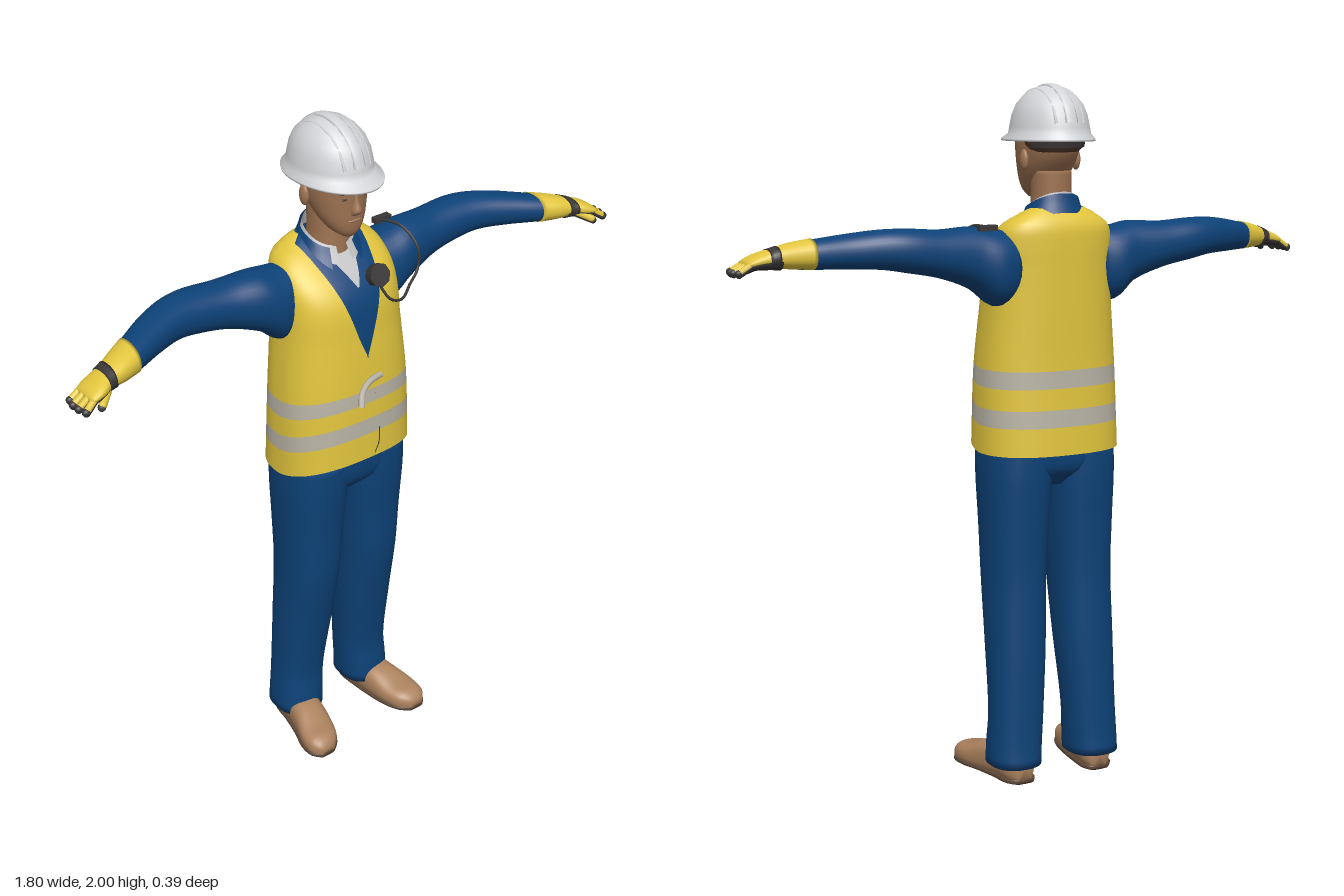
import * as THREE from 'three';

const mat = (name, color, side = THREE.FrontSide) => {
  const m = new THREE.MeshStandardMaterial({ color, side });
  m.name = name;
  return m;
};

// Smooth interpolation of cross-sections [t, centreU, centreV, radiusU, radiusV]
function sectionAt(s, t) {
  let i = 0;
  while (i < s.length - 2 && t > s[i + 1][0]) i++;
  const p = s[i], q = s[i + 1], a = s[i - 1] || p, b = s[i + 2] || q;
  const h = q[0] - p[0], u = (t - p[0]) / h, u2 = u * u, u3 = u2 * u;
  return p.map((_, k) => {
    const m0 = (q[k] - a[k]) / (q[0] - a[0]) * h, m1 = (b[k] - p[k]) / (b[0] - p[0]) * h;
    return (2 * u3 - 3 * u2 + 1) * p[k] + (u3 - 2 * u2 + u) * m0 + (3 * u2 - 2 * u3) * q[k] + (u3 - u2) * m1;
  });
}

// Superellipse loft along axis 0/1/2; the cosine side lies on the next axis, the sine side on the one after
function loft(axis, secs, o = {}) {
  const { n = 2.2, seg = 32, rows = 24, from = secs[0][0], to = secs[secs.length - 1][0],
    range = null, cap = !range, inflate = 1, warp = null } = o;
  const cols = range ? seg + 1 : seg, pos = [], idx = [];
  const bend = (v) => Math.sign(v) * Math.abs(v) ** (2 / n);
  const ring = (t, k) => {
    const s = sectionAt(secs, t), [a0, a1] = range ? range(t, s) : [0, Math.PI * 2];
    for (let j = 0; j < cols; j++) {
      const a = a0 + (a1 - a0) * j / seg, p = [0, 0, 0];
      p[axis] = t;
      p[(axis + 1) % 3] = s[1] + bend(Math.cos(a)) * Math.max(s[3], 0.001) * k;
      p[(axis + 2) % 3] = s[2] + bend(Math.sin(a)) * Math.max(s[4], 0.001) * k;
      if (warp) warp(p, a);
      pos.push(...p);
    }
  };
  if (cap) ring(from, 0.001);
  for (let i = 0; i <= rows; i++) ring(from + (to - from) * i / rows, inflate);
  if (cap) ring(to, 0.001);
  const total = pos.length / 3 / cols;
  for (let i = 0; i < total - 1; i++) for (let j = 0; j < seg; j++) {
    const a = i * cols + j, d = i * cols + (j + 1) % cols;
    idx.push(a, d, a + cols, d, d + cols, a + cols);
  }
  const g = new THREE.BufferGeometry();
  g.setAttribute('position', new THREE.Float32BufferAttribute(pos, 3));
  g.setIndex(idx);
  g.computeVertexNormals();
  return g;
}

function mirrored(geo) {
  const g = geo.clone().scale(-1, 1, 1), ix = g.index.array;
  for (let i = 0; i < ix.length; i += 3) [ix[i], ix[i + 1]] = [ix[i + 1], ix[i]];
  return g;
}

const V = (p) => new THREE.Vector3(...p);
const tube = (pts, r, seg = 32) => new THREE.TubeGeometry(new THREE.CatmullRomCurve3(pts.map(V)), seg, r, 8);
const blob = (p, r) => new THREE.SphereGeometry(1, 20, 14).scale(...r).translate(...p);
const box = (p, s) => new THREE.BoxGeometry(...s).translate(...p);
function finger(a, b, r) {
  const A = V(a), B = V(b), d = B.clone().sub(A);
  const g = new THREE.CapsuleGeometry(r, d.length(), 4, 10);
  g.applyQuaternion(new THREE.Quaternion().setFromUnitVectors(V([0, 1, 0]), d.clone().normalize()));
  return g.translate(...A.add(B).multiplyScalar(0.5).toArray());
}

export function createModel() {
  const root = new THREE.Group();
  root.name = 'worker';
  const D = THREE.DoubleSide;
  const yellow = mat('vest yellow', 0xe2c53e, D), blue = mat('workwear blue', 0x0d4278, D);
  const skin = mat('skin', 0x9f7453), leather = mat('boot leather', 0xac825e);
  const silver = mat('reflective silver', 0xbab4a6, D), dark = mat('dark rubber', 0x3b3838);
  const white = mat('helmet white', 0xd3d4d7, D), cloth = mat('shirt grey', 0xc3c3c6, D);
  const hair = mat('hair brown', 0x553b2b), soleMat = mat('sole brown', 0x5b4635);
  const add = (name, geo, m) => {
    const mesh = new THREE.Mesh(geo, m);
    mesh.name = name;
    root.add(mesh);
    return mesh;
  };
  const pair = (name, geo, m) => {
    add(name + 'Left', geo, m);
    add(name + 'Right', mirrored(geo), m);
  };
  const clamp = THREE.MathUtils.clamp;

  // Torso and vest share one set of sections: y, z, x, depth, width
  const body = [[0.97, -0.011, 0, 0.159, 0.212], [1.2, -0.01, 0, 0.15, 0.204], [1.4, -0.018, 0, 0.142, 0.187],
    [1.5, -0.025, 0, 0.135, 0.182], [1.56, -0.042, 0, 0.118, 0.178], [1.61, -0.068, 0, 0.088, 0.16],
    [1.64, -0.08, 0, 0.06, 0.12], [1.66, -0.085, 0, 0.035, 0.08]];
  const edge = (w, s) => Math.asin(clamp(w / s[4], 0, 0.99) ** 1.25);
  add('jacket', loft(1, body, { n: 2.5, from: 1.05, inflate: 0.95, seg: 48 }), blue);
  const vest = {
    n: 2.5, seg: 64,
    range: (t, s) => { const a = edge((t - 1.33) * 0.33, s); return [a, Math.PI * 2 - a]; },
    warp: (p, a) => { p[1] += 0.05 * Math.max(0, Math.cos(a)) * clamp((1.4 - p[1]) / 0.3, 0, 1); },
  };
  [[0.97, 1.05], [1.05, 1.1], [1.1, 1.16], [1.16, 1.21], [1.21, 1.66]].forEach(([from, to], i) =>
    add(i % 2 ? 'reflectiveBand' : 'vestPanel', loft(1, body, { ...vest, from, to, rows: i === 4 ? 32 : 4 }), i % 2 ? silver : yellow));
  add('vestSeam', tube([[0, 1.34, 0.116], [0.015, 1.25, 0.136], [0.03, 1.15, 0.141], [0.03, 1.06, 0.146], [0.015, 1.03, 0.147]], 0.0018), dark);
  add('vestStrap', tube([[0.04, 1.275, 0.137], [-0.01, 1.275, 0.15], [-0.045, 1.26, 0.165], [-0.068, 1.235, 0.19]], 0.009), silver);

  // Shirt front and the two collars
  add('shirtFront', loft(1, body, {
    n: 2.5, from: 1.54, to: 1.635, rows: 10, seg: 16, inflate: 0.975,
    range: (t, s) => { const a = edge((t - 1.535) * 0.55, s); return [-a, a]; },
  }), cloth);
  const collar = (name, k, lift, gap, m) => add(name, loft(1, [[1.615, -0.045, 0, 0.095, 0.098], [1.645, -0.05, 0, 0.08, 0.083], [1.668, -0.054, 0, 0.07, 0.074]], {
    rows: 8, inflate: k, range: () => [gap, Math.PI * 2 - gap],
    warp: (p, a) => { p[1] += lift - 0.032 * Math.cos(a); },
  }), m);
  collar('jacketCollar', 1, 0, 0.5, blue);
  collar('shirtCollar', 0.9, 0.004, 0.22, cloth);

  // Sleeves: x, y, z, height, depth
  pair('sleeve', loft(0, [[0.13, 1.5, -0.055, 0.1, 0.075], [0.19, 1.497, -0.055, 0.106, 0.088], [0.25, 1.525, -0.05, 0.088, 0.08],
    [0.35, 1.542, -0.06, 0.067, 0.068], [0.45, 1.555, -0.062, 0.06, 0.065], [0.52, 1.56, -0.05, 0.054, 0.062],
    [0.6, 1.556, -0.02, 0.048, 0.06], [0.68, 1.549, 0.02, 0.041, 0.054], [0.72, 1.546, 0.038, 0.038, 0.05]], { rows: 40 }), blue);

  // Gloves with dark palms, straps and fingertips
  const hand = [[0.69, 1.549, 0.026, 0.042, 0.057], [0.74, 1.545, 0.048, 0.036, 0.05], [0.785, 1.54, 0.064, 0.027, 0.042],
    [0.82, 1.534, 0.078, 0.021, 0.046], [0.845, 1.528, 0.083, 0.016, 0.046], [0.862, 1.523, 0.086, 0.009, 0.04]];
  pair('glove', loft(0, hand, { rows: 20 }), yellow);
  pair('gloveStrap', loft(0, hand, { from: 0.775, to: 0.8, rows: 4, inflate: 1.06 }), dark);
  pair('glovePalm', loft(0, hand, { from: 0.77, to: 0.86, rows: 12, inflate: 0.97 }).translate(0, -0.006, 0), dark);
  for (let k = 0; k < 4; k++) {
    const a = [0.845, 1.527, 0.05 + 0.022 * k], b = [0.892 - 0.006 * Math.abs(k - 1.4), 1.503, 0.052 + 0.025 * k];
    const under = (p) => [p[0], p[1] - 0.004, p[2]];
    pair('finger', finger(a, b, 0.0095), yellow);
    pair('fingerPad', finger(under(a), under(b), 0.0092), dark);
    pair('fingertip', blob(b, [0.0115, 0.0105, 0.0105]), dark);
  }
  pair('thumb', finger([0.795, 1.53, 0.095], [0.835, 1.508, 0.128], 0.011), yellow);
  pair('thumbPad', finger([0.797, 1.525, 0.095], [0.84, 1.502, 0.13], 0.0105), dark);

  // Trousers: y, z, x, depth, width
  add('trouserSeat', loft(1, [[0.87, -0.014, 0, 0.07, 0.14], [0.92, -0.014, 0, 0.115, 0.19], [1, -0.012, 0, 0.125, 0.2], [1.1, -0.01, 0, 0.125, 0.195]], { n: 2.5 }), blue);
  pair('trouserLeg', loft(1, [[0.05, -0.058, 0.128, 0.085, 0.076], [0.1, -0.057, 0.126, 0.081, 0.077], [0.2, -0.058, 0.12, 0.077, 0.077],
    [0.4, -0.04, 0.112, 0.09, 0.083], [0.6, -0.02, 0.107, 0.105, 0.086], [0.75, -0.017, 0.105, 0.112, 0.092],
    [0.9, -0.014, 0.102, 0.122, 0.1], [1, -0.012, 0.1, 0.123, 0.1]], { n: 2.4, rows: 40 }), blue);

  // Boots: z, x, y, width, height
  const boot = [[-0.125, 0.125, 0.045, 0.028, 0.04], [-0.1, 0.128, 0.05, 0.045, 0.052], [-0.03, 0.135, 0.05, 0.05, 0.055],
    [0.04, 0.147, 0.042, 0.055, 0.052], [0.1, 0.162, 0.032, 0.059, 0.038], [0.15, 0.172, 0.026, 0.048, 0.032], [0.174, 0.176, 0.022, 0.024, 0.018]];
  pair('boot', loft(2, boot, { n: 2.5, warp: (p) => { p[1] = Math.max(p[1], 0.01); } }), leather);
  pair('bootSole', loft(2, boot.map(([z, x, , w]) => [z, x, 0.008, w + 0.002, 0.008]), { n: 4 }), soleMat);

  // Head and neck: y, z, x, depth, width
  add('neck', loft(1, [[1.58, -0.055, 0, 0.07, 0.065], [1.66, -0.05, 0, 0.06, 0.056], [1.76, -0.05, 0, 0.06, 0.055]]), skin);
  add('head', loft(1, [[1.684, 0.038, 0, 0.02, 0.02], [1.7, 0.022, 0, 0.045, 0.042], [1.73, 0.005, 0, 0.067, 0.061], [1.77, -0.014, 0, 0.088, 0.074],
    [1.81, -0.026, 0, 0.102, 0.081], [1.85, -0.029, 0, 0.106, 0.083], [1.9, -0.03, 0, 0.095, 0.075]]), skin);
  add('nose', loft(1, [[1.754, 0.07, 0, 0.012, 0.014], [1.765, 0.074, 0, 0.018, 0.015], [1.79, 0.07, 0, 0.014, 0.009], [1.815, 0.066, 0, 0.011, 0.007]], { rows: 12, seg: 16 }), skin);
  add('mouth', blob([0, 1.735, 0.069], [0.022, 0.005, 0.005]), leather);
  pair('ear', blob([0.082, 1.79, -0.045], [0.011, 0.03, 0.018]), skin);
  pair('eye', blob([0.031, 1.803, 0.067], [0.011, 0.004, 0.004]), hair);
  pair('brow', blob([0.032, 1.82, 0.068], [0.017, 0.003, 0.004]), hair);
  add('hair', blob([0, 1.845, -0.072], [0.088, 0.052, 0.074]), hair);
  add('helmetHarness', loft(1, [[1.825, -0.05, 0, 0.098, 0.087], [1.855, -0.05, 0, 0.105, 0.092]], { rows: 4, range: () => [1.9, 4.38], cap: false }), dark).renderOrder = 0;

  // Helmet shell with a longer front peak
  const shell = [[0.95, 0], [1, -0.008], [1.12, -0.018], [1.13, -0.012], [1.02, 0.002], [0.99, 0.02], [0.93, 0.054], [0.82, 0.083],
    [0.64, 0.107], [0.42, 0.125], [0.2, 0.133], [0.001, 0.135]];
  const helmet = new THREE.LatheGeometry(shell.map(([r, y]) => new THREE.Vector2(r, y)), 48);
  const hp = helmet.attributes.position;
  for (let i = 0; i < hp.count; i++) {
    const r = Math.hypot(hp.getX(i), hp.getZ(i)), z = hp.getZ(i);
    if (r > 1.05 && z > 0) hp.setZ(i, z * 1.18);
  }
  helmet.scale(0.107, 1, 0.135).translate(0, 1.86, -0.04);
  helmet.computeVertexNormals();
  add('helmet', helmet, white);
  add('helmetLining', new THREE.CircleGeometry(1, 40).rotateX(Math.PI / 2).scale(0.104, 1, 0.131).translate(0, 1.857, -0.04), dark);
  const arc = (x, k) => Array.from({ length: 13 }, (_, i) => {
    const a = 0.25 + (Math.PI - 0.5) * i / 12;
    return [x, 1.86 + Math.sin(a) * 0.135 * k, -0.04 + Math.cos(a) * 0.135 * k];
  });
  add('helmetCentreRidge', tube(arc(0, 0.99), 0.006).scale(3.2, 1, 1), white);
  pair('helmetSideRidge', tube(arc(0.042, 0.905), 0.005), white);

  // Shoulder microphone and its cable
  add('microphone', new THREE.CylinderGeometry(0.034, 0.03, 0.03, 8).rotateX(Math.PI / 2 - 0.4).translate(0.06, 1.56, 0.092), dark);
  add('microphoneCable', tube([[0.06, 1.535, 0.1], [0.085, 1.49, 0.118], [0.14, 1.465, 0.104], [0.2, 1.475, 0.065], [0.245, 1.5, 0.043],
    [0.25, 1.56, 0.035], [0.235, 1.61, -0.02], [0.21, 1.612, -0.09]], 0.004, 60), dark);
  add('shoulderClip', box([0.22, 1.61, -0.09], [0.055, 0.016, 0.022]), dark);
  return root;
}
